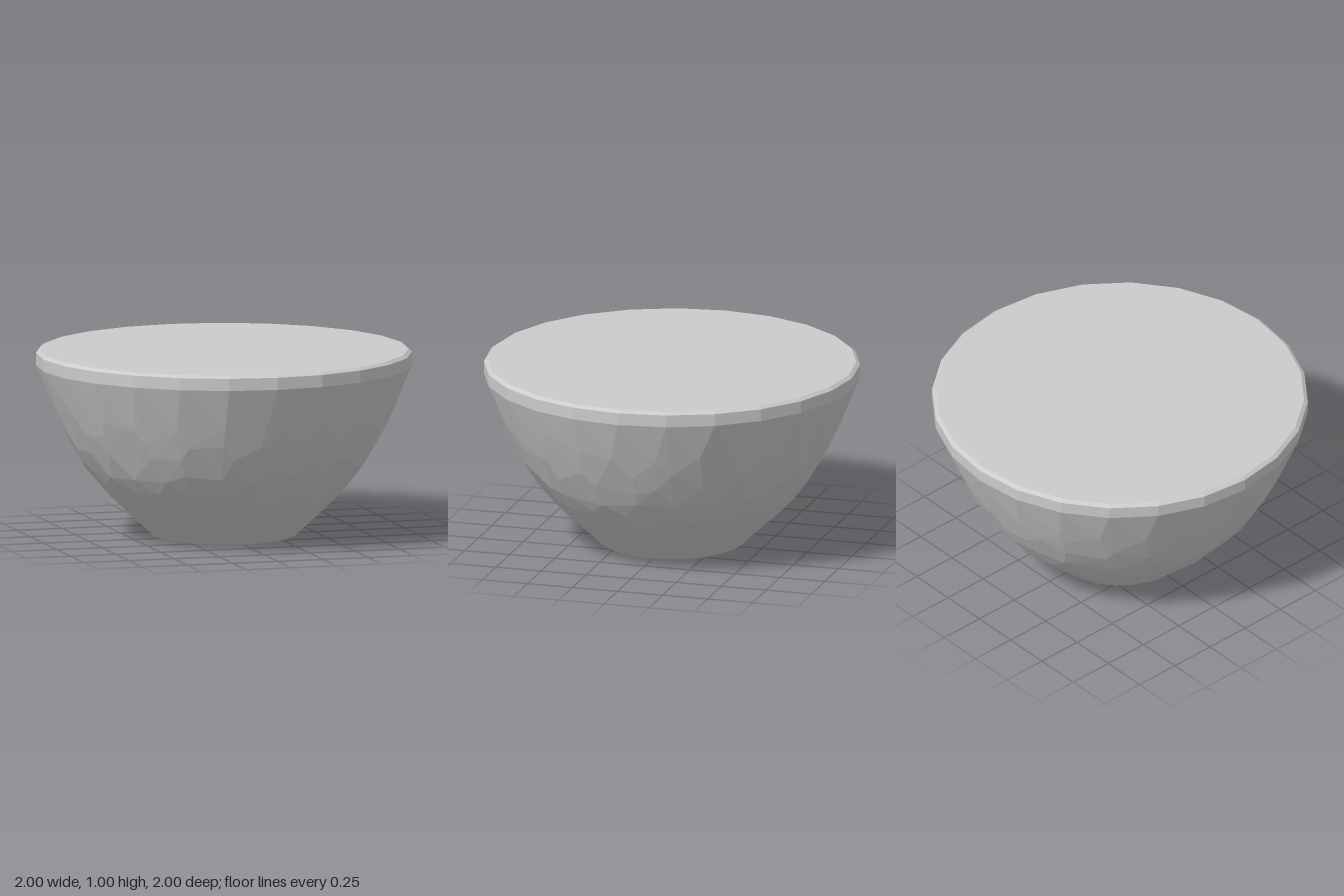
import * as THREE from 'three';
import { ConvexGeometry } from 'three/addons/geometries/ConvexGeometry.js';

// Rings from foot to rim: [radius, height, facet irregularity]
const RINGS = [
  [0.36, 0, 0], [0.385, 0.01, 0], [0.6, 0.21, 0], [0.685, 0.305, 1], [0.757, 0.4, 1],
  [0.815, 0.5, 1], [0.865, 0.6, 1], [0.91, 0.7, 1], [0.948, 0.8, 1],
  [1, 0.92, 0], [1, 0.985, 0], [0.98, 1, 0],
];
const SIDES = 24;

// Small seeded generator, -0.5 to 0.5
function seeded(seed) {
  return () => {
    seed = (seed * 16807) % 2147483647;
    return seed / 2147483647 - 0.5;
  };
}

export function createModel() {
  const group = new THREE.Group();
  group.name = 'solidBowl';
  const random = seeded(7);

  // Ring points slide a little around and along the wall, giving hand-cut facets
  const points = [];
  RINGS.forEach(([radius, height, rough]) => {
    for (let i = 0; i < SIDES; i++) {
      const angle = ((i + rough * random() * 0.6) / SIDES) * Math.PI * 2;
      const slide = rough * random() * 0.05;
      const r = radius + slide * (0.72 - height * 0.35);
      points.push(new THREE.Vector3(Math.cos(angle) * r, height + slide, Math.sin(angle) * r));
    }
  });

  // Solid faceted body with flat top and flat foot
  const material = new THREE.MeshStandardMaterial({ color: 0xcccccc, flatShading: true });
  const body = new THREE.Mesh(new ConvexGeometry(points), material);
  body.name = 'bowlBody';
  group.add(body);
  return group;
}
